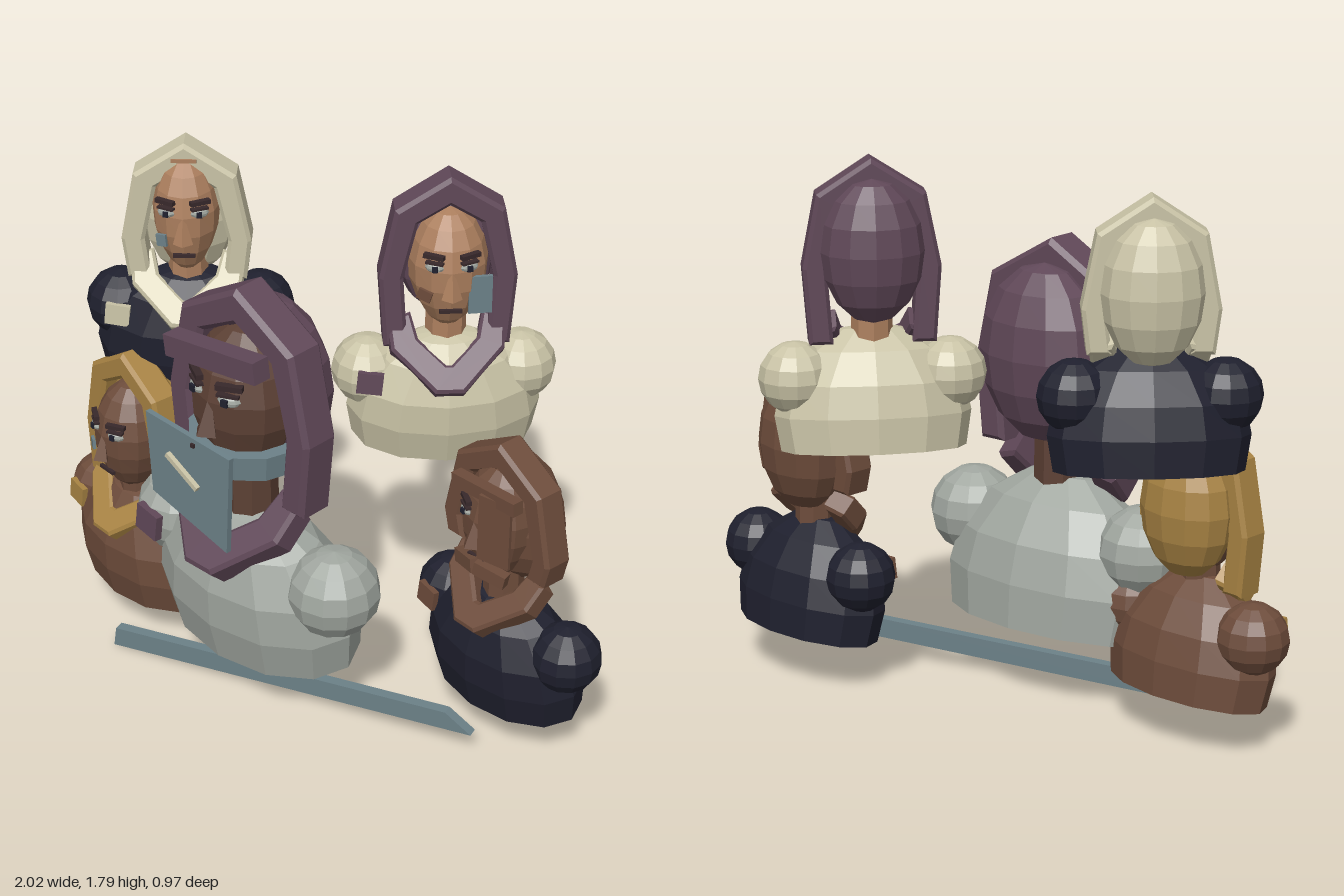
import * as THREE from 'three';

const mat = (name, color) => {
  const m = new THREE.MeshStandardMaterial({ color, flatShading: true });
  m.name = name;
  return m;
};

export function createModel() {
  const M = {
    cream: mat('cream', 0xc9c3a6), navy: mat('navy', 0x1f202e), sage: mat('sage grey', 0xa0a69f),
    brown: mat('brown', 0x6d4c3b), gold: mat('gold', 0xa88343), purple: mat('purple', 0x604858),
    slate: mat('slate', 0x6c8188), tan: mat('tan skin', 0xac7f5e), dark: mat('dark skin', 0x5c4034),
    umber: mat('umber', 0x38292b),
  };
  const model = new THREE.Group();
  model.name = 'fiveBusts';

  const add = (parent, name, geo, m, p = [0, 0, 0], r = [0, 0, 0], s = [1, 1, 1]) => {
    const mesh = new THREE.Mesh(geo, m);
    mesh.name = name;
    mesh.position.set(...p);
    mesh.rotation.set(...r);
    mesh.scale.set(...s);
    parent.add(mesh);
  };
  const box = (w, h, d) => new THREE.BoxGeometry(w, h, d);
  // Polygon extruded and centred on z
  const slab = (pts, depth, bevel = 0) => new THREE.ExtrudeGeometry(
    new THREE.Shape(pts.map(([x, y]) => new THREE.Vector2(x, y))),
    { depth, bevelEnabled: bevel > 0, bevelSize: bevel, bevelThickness: bevel, bevelSegments: 1 },
  ).translate(0, 0, -depth / 2);
  // Closed band from the right halves of its outer and inner edges, each listed from the end to the middle
  const band = (outer, inner) => {
    const flip = (a) => a.map(([x, y]) => [-x, y]);
    const arc = (a) => [...a, ...flip(a).reverse().filter(([x]) => x !== 0)];
    return [...arc(outer), ...arc(inner).reverse()];
  };

  // Egg-shaped head, narrower toward the chin
  const headGeo = (hw, hh) => {
    const g = new THREE.SphereGeometry(1, 12, 9);
    const p = g.attributes.position;
    for (let i = 0; i < p.count; i++) {
      const y = p.getY(i);
      const k = y < 0 ? 1 + 0.22 * y : 1;
      p.setXYZ(i, p.getX(i) * hw * k, y * hh, p.getZ(i) * 0.135 * (y < 0 ? 1 + 0.1 * y : 1));
    }
    return g;
  };

  // One bust; returns its head group so that face details can be added
  function bust(o) {
    const g = new THREE.Group();
    g.name = o.name;
    g.position.set(...o.pos);
    g.rotation.y = o.yaw;
    g.scale.setScalar(o.scale ?? 1);
    model.add(g);
    const { eye, apex, bottom, w, hw = 0.125, shoulder = 0.255, collarY = 0.335 } = o;
    const { torsoZ = -0.01, backZ = -0.065 } = o;
    const hc = eye - 0.05;

    // Torso and shoulders
    const profile = [[0, 0], [0.288, 0], [0.306, 0.11], [0.285, 0.21], [0.205, 0.31], [0.1, 0.375], [0, 0.39]];
    add(g, 'torso', new THREE.LatheGeometry(profile.map(([x, y]) => new THREE.Vector2(x, y)), 12),
      o.cloth, [0, 0.02, torsoZ], [0.15, 0, 0], [1, 1, 0.58]);
    for (const s of [-1, 1]) {
      add(g, 'shoulder', new THREE.SphereGeometry(0.114, 12, 8), o.cloth, [s * shoulder, 0.252, 0]);
    }
    add(g, 'shoulderPatch', box(0.08, 0.07, 0.02), o.trim, [-shoulder, 0.26, 0.112], [-0.05, -0.1, -0.1]);

    // Folded collar
    const collar = band(
      [[0.172, 0.1], [0.165, 0.02], [0.04, -0.115]],
      [[0.118, 0.125], [0.1, 0.045], [0.012, -0.045]],
    );
    add(g, 'collar', slab(collar, 0.06, 0.01), o.hood, [0, collarY, 0.09], [-0.75, 0, 0]);

    // Neck, head, hood back
    const head = new THREE.Group();
    head.name = 'headGroup';
    head.position.z = o.forward;
    g.add(head);
    add(head, 'neck', new THREE.CylinderGeometry(0.06, 0.066, hc - 0.3, 8), o.skin, [0, (hc + 0.3) / 2, 0]);
    add(head, 'head', headGeo(hw, 0.2), o.skin, [0, hc, 0.008]);
    add(head, 'hoodBack', new THREE.SphereGeometry(1, 12, 8), o.hood, [0, apex - 0.265, backZ], [0, 0, 0],
      [w * 0.79, 0.222, 0.122]);

    // Hood arch around the face
    const t = 0.05;
    const arch = band(
      [[w * 0.92, bottom], [w, apex - 0.32], [w * 0.78, apex - 0.1], [0, apex]],
      [[w * 0.92 - t, bottom], [w - t, apex - 0.32], [w * 0.78 - t, apex - 0.13], [0, apex - 0.065]],
    );
    add(head, 'hoodArch', slab(arch, 0.08, 0.012), o.hood);

    // Face
    for (const s of [-1, 1]) {
      add(head, 'eye', new THREE.SphereGeometry(0.026, 8, 6), M.sage, [s * 0.053, eye, 0.121],
        [0, s * 0.4, 0], [1.15, 0.62, 0.6]);
      add(head, 'pupil', box(0.017, 0.018, 0.008), M.navy, [s * 0.053, eye, 0.137], [0, s * 0.2, 0]);
      add(head, 'eyelid', box(0.056, 0.007, 0.018), M.umber, [s * 0.053, eye + 0.016, 0.124], [0, s * 0.45, 0]);
      add(head, 'brow', box(0.066, 0.014, 0.018), M.umber, [s * 0.055, eye + 0.037, 0.122], [0, s * 0.5, 0]);
    }
    add(head, 'nose', new THREE.ConeGeometry(0.032, 0.11, 4), o.skin, [0, eye - 0.045, 0.138], [-0.15, 0, 0]);
    add(head, 'mouth', box(0.07, 0.011, 0.012), M.umber, [0, eye - 0.15, 0.123]);
    return head;
  }

  // Back row
  const backLeft = bust({ name: 'creamHoodBust', pos: [-0.58, 0.88, -0.22], yaw: 0.42, cloth: M.navy, hood: M.cream,
    trim: M.cream, skin: M.tan, eye: 0.65, apex: 0.835, bottom: 0.39, w: 0.195, hw: 0.11, shoulder: 0.225,
    forward: 0.03 });
  add(backLeft, 'cheekPatch', box(0.035, 0.04, 0.01), M.slate, [-0.07, 0.55, 0.116], [0, -0.45, 0.1]);
  add(backLeft, 'foreheadStrip', box(0.08, 0.012, 0.02), M.tan, [0, 0.795, 0.048]);

  const backRight = bust({ name: 'purpleHoodBust', pos: [0.31, 0.86, -0.25], yaw: 0.53, cloth: M.cream, hood: M.purple,
    trim: M.purple, skin: M.tan, eye: 0.67, apex: 0.915, bottom: 0.37, w: 0.2, shoulder: 0.24, forward: 0.015 });
  add(backRight, 'cheekPlate', box(0.072, 0.125, 0.012), M.slate, [0.09, 0.57, 0.112], [0, 0.08, 0]);
  add(backRight, 'cheekPatch', box(0.045, 0.035, 0.01), M.brown, [-0.08, 0.575, 0.118], [0, -0.45, -0.3]);

  // Front row
  const frontLeft = bust({ name: 'goldHoodBust', pos: [-0.67, 0.13, -0.05], yaw: -0.4, cloth: M.brown, hood: M.gold,
    trim: M.gold, skin: M.brown, eye: 0.64, apex: 0.885, bottom: 0.38, w: 0.205, hw: 0.13, shoulder: 0.245,
    forward: 0.035 });
  add(frontLeft, 'cheekPatch', box(0.035, 0.035, 0.01), M.slate, [-0.085, 0.55, 0.115], [0, -0.45, 0.1]);

  const frontRight = bust({ name: 'brownHoodBust', pos: [0.66, 0.14, -0.02], yaw: -0.4, cloth: M.navy, hood: M.brown,
    trim: M.brown, skin: M.brown, eye: 0.71, apex: 0.92, bottom: 0.53, w: 0.22, hw: 0.135, collarY: 0.39,
    forward: 0.03, backZ: -0.045 });
  add(frontRight, 'browBand', box(0.27, 0.045, 0.04), M.brown, [0.03, 0.81, 0.12], [0, 0, 0.06]);
  add(frontRight, 'cheekPlate', box(0.115, 0.23, 0.012), M.brown, [0.085, 0.7, 0.135], [0, 0.2, 0]);
  for (const s of [-1, 1]) {
    add(frontRight, 'moustache', box(0.11, 0.045, 0.035), M.brown, [0.015 + s * 0.052, 0.535, 0.125],
      [0, s * 0.3, -s * 0.2]);
  }

  // Large centre bust with plate mask
  const centre = bust({ name: 'maskedBust', pos: [-0.14, 0.21, 0.17], yaw: -0.3, scale: 1.3, cloth: M.sage,
    hood: M.purple, trim: M.purple, skin: M.dark, eye: 0.75, apex: 0.98, bottom: 0.47, w: 0.222, hw: 0.145,
    shoulder: 0.265, collarY: 0.36, torsoZ: -0.028, forward: 0.01 });
  add(centre, 'headband', box(0.3, 0.055, 0.05), M.purple, [0, 0.845, 0.11], [0, 0, 0.13]);
  add(centre, 'maskStrap', new THREE.CylinderGeometry(0.152, 0.145, 0.065, 12), M.slate, [0, 0.575, 0.01],
    [0, 0, 0], [1, 1, 0.92]);
  const mask = [[-0.14, 0.125], [-0.125, -0.09], [0.125, -0.155], [0.14, 0.11]];
  add(centre, 'mask', slab(mask, 0.014), M.slate, [-0.007, 0.55, 0.195]);
  add(centre, 'maskSlash', box(0.115, 0.013, 0.012), M.cream, [-0.02, 0.565, 0.208], [0, 0, -0.5]);
  add(centre, 'maskRivet', box(0.01, 0.01, 0.008), M.umber, [0.015, 0.65, 0.204]);

  // Slanted plank in front
  add(model, 'plank', slab([[-0.67, 0], [0.64, 0.08], [0.55, 0.14], [-0.66, 0.07]], 0.035), M.slate, [0, 0, 0.19]);

  return model;
}
